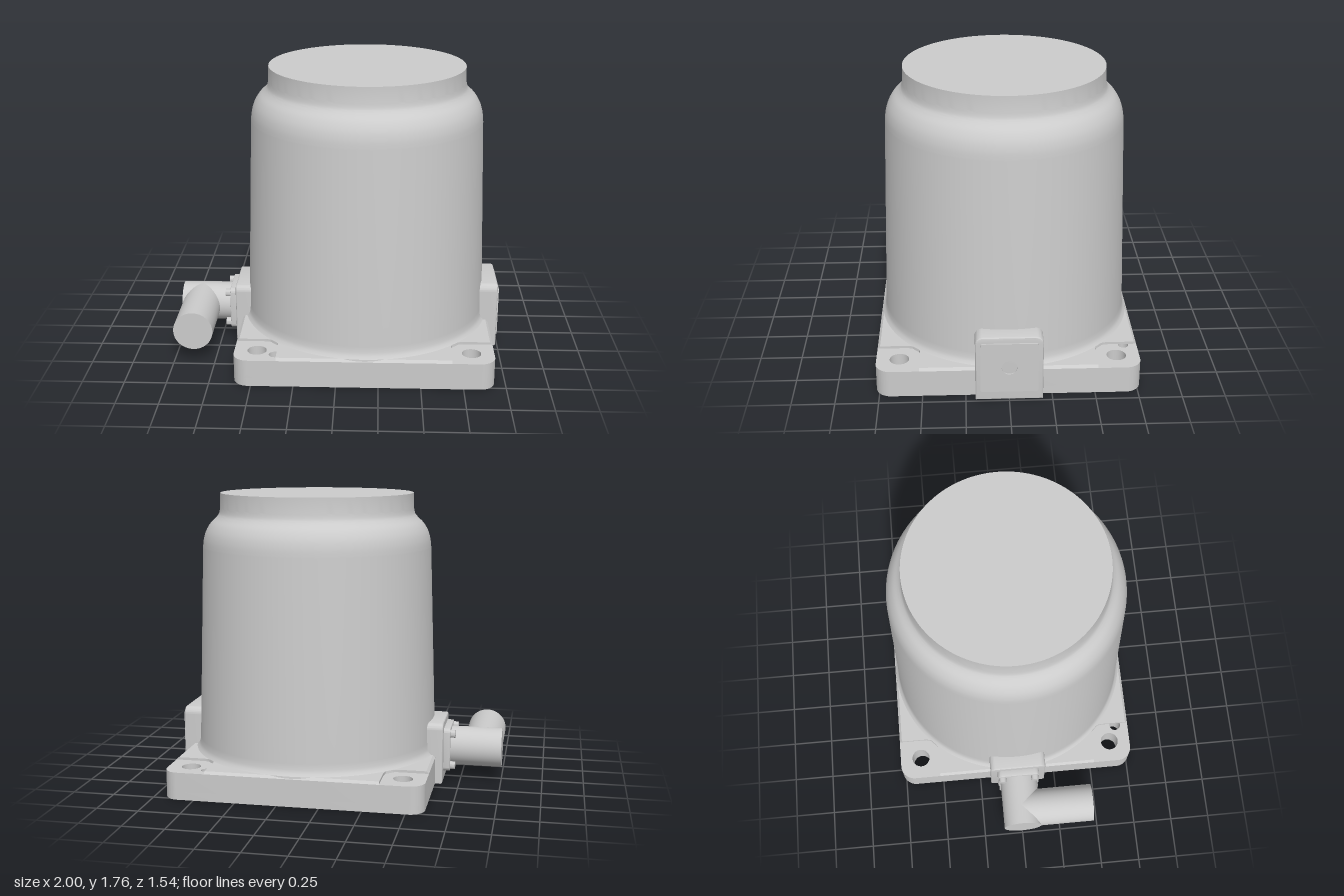
import * as THREE from 'three';
import { toCreasedNormals } from 'three/addons/utils/BufferGeometryUtils.js';

const CX = 0.165; // axis of the housing
const HALF = 0.77; // half side of the square base

export function createModel() {
  const model = new THREE.Group();
  const material = new THREE.MeshStandardMaterial({ color: 0xcccccc });

  function add(name, geometry, x = 0, y = 0, z = 0) {
    const mesh = new THREE.Mesh(toCreasedNormals(geometry, 0.5), material);
    mesh.name = name;
    mesh.position.set(x, y, z);
    model.add(mesh);
    return mesh;
  }

  function roundedRect(x0, y0, x1, y1, r, rBottom = r) {
    const s = new THREE.Shape();
    s.moveTo(x0 + rBottom, y0);
    s.lineTo(x1 - rBottom, y0);
    if (rBottom) s.absarc(x1 - rBottom, y0 + rBottom, rBottom, -Math.PI / 2, 0);
    s.lineTo(x1, y1 - r);
    s.absarc(x1 - r, y1 - r, r, 0, Math.PI / 2);
    s.lineTo(x0 + r, y1);
    s.absarc(x0 + r, y1 - r, r, Math.PI / 2, Math.PI);
    s.lineTo(x0, y0 + rBottom);
    if (rBottom) s.absarc(x0 + rBottom, y0 + rBottom, rBottom, Math.PI, Math.PI * 1.5);
    return s;
  }

  function hole(x, y, r) {
    return new THREE.Path().absarc(x, y, r, 0, Math.PI * 2, true);
  }

  // Horizontal slab: shape y becomes -z
  function slab(shape, depth) {
    return new THREE.ExtrudeGeometry(shape, { depth, bevelEnabled: false, curveSegments: 16 })
      .rotateX(-Math.PI / 2);
  }

  // Upright slab: shape x becomes -z, extruded along +x, edges softened by bevel
  function upright(shape, depth, bevel) {
    return new THREE.ExtrudeGeometry(shape, {
      depth: depth - 2 * bevel, bevelEnabled: bevel > 0, bevelThickness: bevel,
      bevelSize: bevel, bevelOffset: -bevel, bevelSegments: 3, curveSegments: 10,
    }).translate(0, 0, bevel).rotateY(Math.PI / 2);
  }

  // Holes near the four corners, plus two small dowel holes
  function drill(shape) {
    for (const sx of [-1, 1]) for (const sy of [-1, 1]) {
      shape.holes.push(hole(sx * 0.635, sy * 0.635, 0.057));
    }
    shape.holes.push(hole(0.525, 0.69, 0.031), hole(-0.525, -0.685, 0.036));
    return shape;
  }

  // Base: lower rim with a notched round recess
  const rim = drill(roundedRect(-HALF, -HALF, HALF, HALF, 0.09));
  const recess = [];
  for (let i = 0; i < 144; i++) {
    const a = -i / 144 * Math.PI * 2;
    const r = 0.725 + (Math.cos(a * 12) > 0.2 ? 0.02 : 0);
    recess.push(new THREE.Vector2(r * Math.cos(a), r * Math.sin(a)));
  }
  rim.holes.push(new THREE.Path(recess));
  add('baseRim', slab(rim, 0.05), CX);
  add('basePlate', slab(drill(roundedRect(-HALF, -HALF, HALF, HALF, 0.09)), 0.115), CX, 0.05);

  // Raised top of the base, leaving a pocket at each corner
  const e = HALF, p = 0.515, r = 0.09;
  const cross = new THREE.Shape();
  for (let k = 0; k < 4; k++) {
    const c = [1, 0, -1, 0][k], s = [0, 1, 0, -1][k];
    const pt = (x, y) => [x * c - y * s, x * s + y * c];
    if (k === 0) cross.moveTo(...pt(e, -p));
    else cross.lineTo(...pt(e, -p));
    cross.lineTo(...pt(e, p));
    cross.lineTo(...pt(p + r, p));
    cross.quadraticCurveTo(...pt(p, p), ...pt(p, p + r));
    cross.lineTo(...pt(p, e));
  }
  const topGeo = slab(cross, 0.015);
  const pos = topGeo.attributes.position;
  for (let i = 0; i < pos.count; i++) {
    if (pos.getY(i) > 0.01) {
      pos.setX(i, THREE.MathUtils.clamp(pos.getX(i), -e + 0.015, e - 0.015));
      pos.setZ(i, THREE.MathUtils.clamp(pos.getZ(i), -e + 0.015, e - 0.015));
    }
  }
  add('baseTop', topGeo, CX, 0.165);

  // Shallow round boss under the base
  const boss = [[0, 0.038], [0.57, 0.038], [0.59, 0.04], [0.61, 0.046], [0.63, 0.051]];
  add('undersideBoss', new THREE.LatheGeometry(
    boss.map(([x, y]) => new THREE.Vector2(x, y)), 96), CX);

  // Tapered bell housing with rounded shoulder and neck
  const shoulder = new THREE.SplineCurve([
    [0.703, 1.43], [0.697, 1.48], [0.682, 1.53], [0.655, 1.575], [0.62, 1.61], [0.602, 1.635], [0.594, 1.67],
  ].map(([x, y]) => new THREE.Vector2(x, y))).getPoints(24);
  const profile = [
    [0.768, 0.16], [0.765, 0.18], [0.752, 0.195], [0.745, 0.215], [0.742, 0.25],
  ].map(([x, y]) => new THREE.Vector2(x, y));
  profile.push(...shoulder, new THREE.Vector2(0.592, 1.76), new THREE.Vector2(0, 1.76));
  add('housing', new THREE.LatheGeometry(profile, 128), CX);

  // Left pad with drilled cover plate
  add('leftPad', upright(roundedRect(-0.195, 0, 0.195, 0.412, 0.045, 0), 0.19, 0.012), 0.8);
  const cover = roundedRect(-0.165, 0.06, 0.165, 0.375, 0.012);
  cover.holes.push(hole(0, 0.22, 0.045));
  add('leftCoverPlate', upright(cover, 0.012, 0), 0.987);

  // Right pad carrying the connector
  add('rightPad', upright(roundedRect(-0.18, 0, 0.18, 0.375, 0.04, 0), 0.19, 0.012), -0.65);
  add('connectorFlange', upright(roundedRect(-0.135, 0.065, 0.135, 0.335, 0.03), 0.045, 0.006), -0.69);
  for (const y of [0.1, 0.3]) for (const z of [-0.105, 0.105]) {
    add('flangeScrew', new THREE.CylinderGeometry(0.024, 0.024, 0.04, 16).rotateZ(Math.PI / 2), -0.7, y, z);
  }

  // Elbow connector: one tube out from the flange, one turned to the front
  add('connectorTube', new THREE.CylinderGeometry(0.12, 0.12, 0.35, 48).rotateZ(Math.PI / 2), -0.825, 0.2, 0);
  add('connectorOutlet', new THREE.CylinderGeometry(0.12, 0.12, 0.465, 48).rotateX(Math.PI / 2), -0.88, 0.2, 0.2325);

  return model;
}
